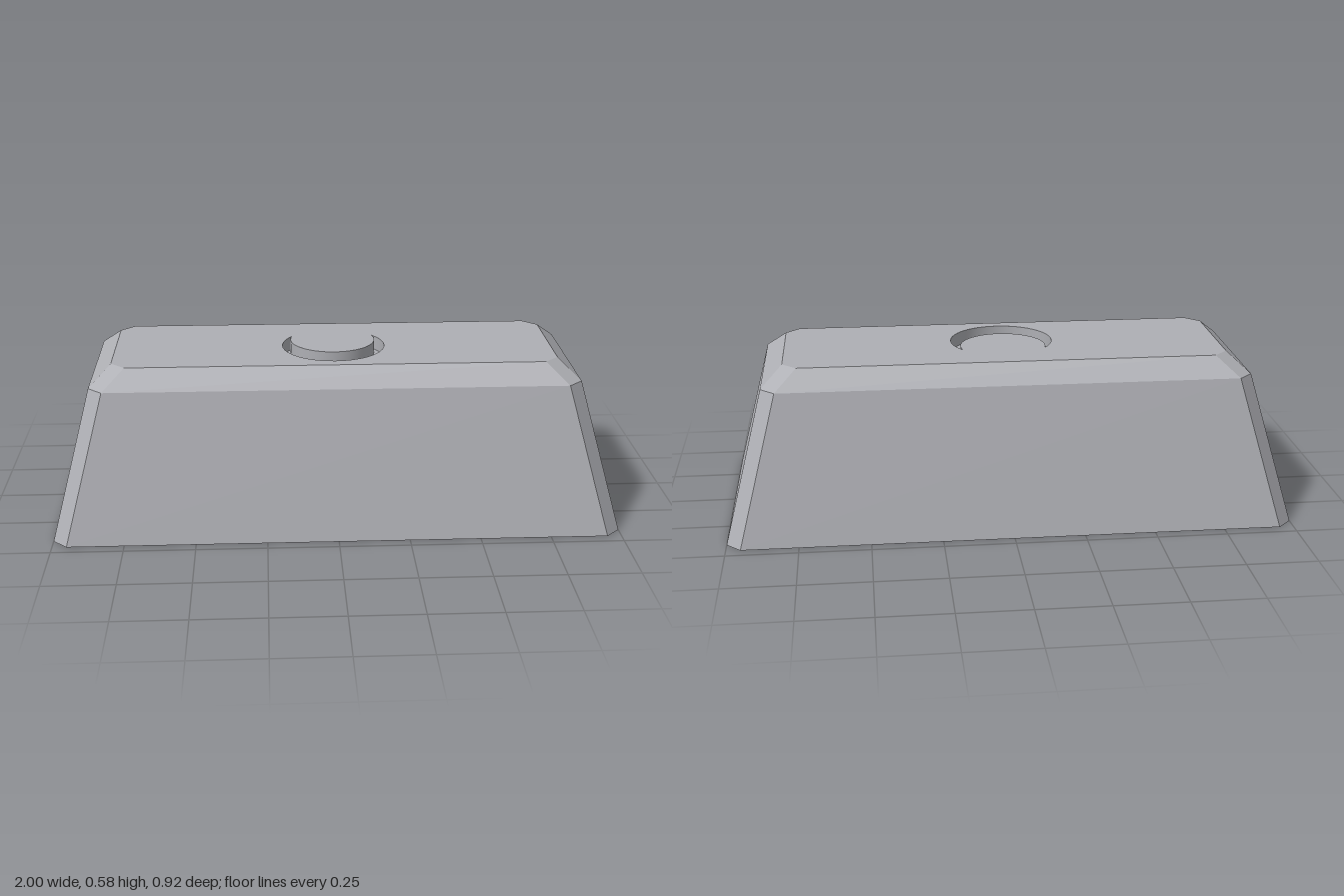
import * as THREE from 'three';
import { toCreasedNormals } from 'three/addons/utils/BufferGeometryUtils.js';

// Plan outlines are Vector2 lists, where plan y points to -z.
function octagon(hx, hz, c) {
  return [
    [hx - c, -hz], [hx, -hz + c], [hx, hz - c], [hx - c, hz],
    [-hx + c, hz], [-hx, hz - c], [-hx, -hz + c], [-hx + c, -hz],
  ].map(([x, y]) => new THREE.Vector2(x, y));
}

// Crescent outline (clockwise, so its lofted walls face inward)
function crescent(tipX, tipY, outerY, innerY, segments) {
  const points = [];
  const arc = (cy, from, to) => {
    const r = Math.hypot(tipX, tipY - cy);
    for (let i = 0; i < segments; i++) {
      const t = from + (to - from) * i / segments;
      points.push(new THREE.Vector2(r * Math.cos(t), cy + r * Math.sin(t)));
    }
  };
  const a = Math.atan2(tipY - outerY, tipX);
  const b = Math.atan2(tipY - innerY, tipX);
  arc(outerY, a, -Math.PI - a);
  arc(innerY, Math.PI - b, 2 * Math.PI + b);
  return points;
}

// Walls joining outlines at successive heights
function loft(rings) {
  const pos = [];
  for (let k = 0; k + 1 < rings.length; k++) {
    const [lo, y0] = rings[k], [hi, y1] = rings[k + 1];
    for (let i = 0; i < lo.length; i++) {
      const j = (i + 1) % lo.length;
      const p = [lo[i], lo[j], hi[j], hi[i]];
      const h = [y0, y0, y1, y1];
      for (const n of [0, 1, 2, 0, 2, 3]) pos.push(p[n].x, h[n], -p[n].y);
    }
  }
  const g = new THREE.BufferGeometry();
  g.setAttribute('position', new THREE.Float32BufferAttribute(pos, 3));
  g.computeVertexNormals();
  return g;
}

// Horizontal plate, facing up or down
function plate(points, y, hole, down = false) {
  const shape = new THREE.Shape(points);
  if (hole) shape.holes.push(new THREE.Path(hole));
  const g = new THREE.ShapeGeometry(shape);
  g.rotateX(down ? Math.PI / 2 : -Math.PI / 2);
  return g.translate(0, y, 0);
}

export function createModel() {
  const group = new THREE.Group();
  const metal = new THREE.MeshStandardMaterial({ color: 0xaeafb4 });
  metal.name = 'grey metal';
  const add = (name, geometry) => {
    const mesh = new THREE.Mesh(geometry, metal);
    mesh.name = name;
    group.add(mesh);
  };

  const height = 0.583, depth = 0.05;
  const base = octagon(1, 0.46, 0.05);
  const shoulder = octagon(0.865, 0.325, 0.05);
  const top = octagon(0.79, 0.25, 0.05);
  const moon = crescent(0.149, 0.09, -0.02, 0.05, 32);

  // Tapered bar with bevelled shoulder
  add('ingotSides', loft([[base, 0], [shoulder, 0.518], [top, height]]));
  add('ingotBase', plate(base, 0, null, true));
  add('ingotTop', plate(top, height, moon));

  // Crescent recess
  add('recessWalls', toCreasedNormals(loft([[moon, height - depth], [moon, height]]), 0.6));
  add('recessFloor', plate(moon, height - depth));
  return group;
}
